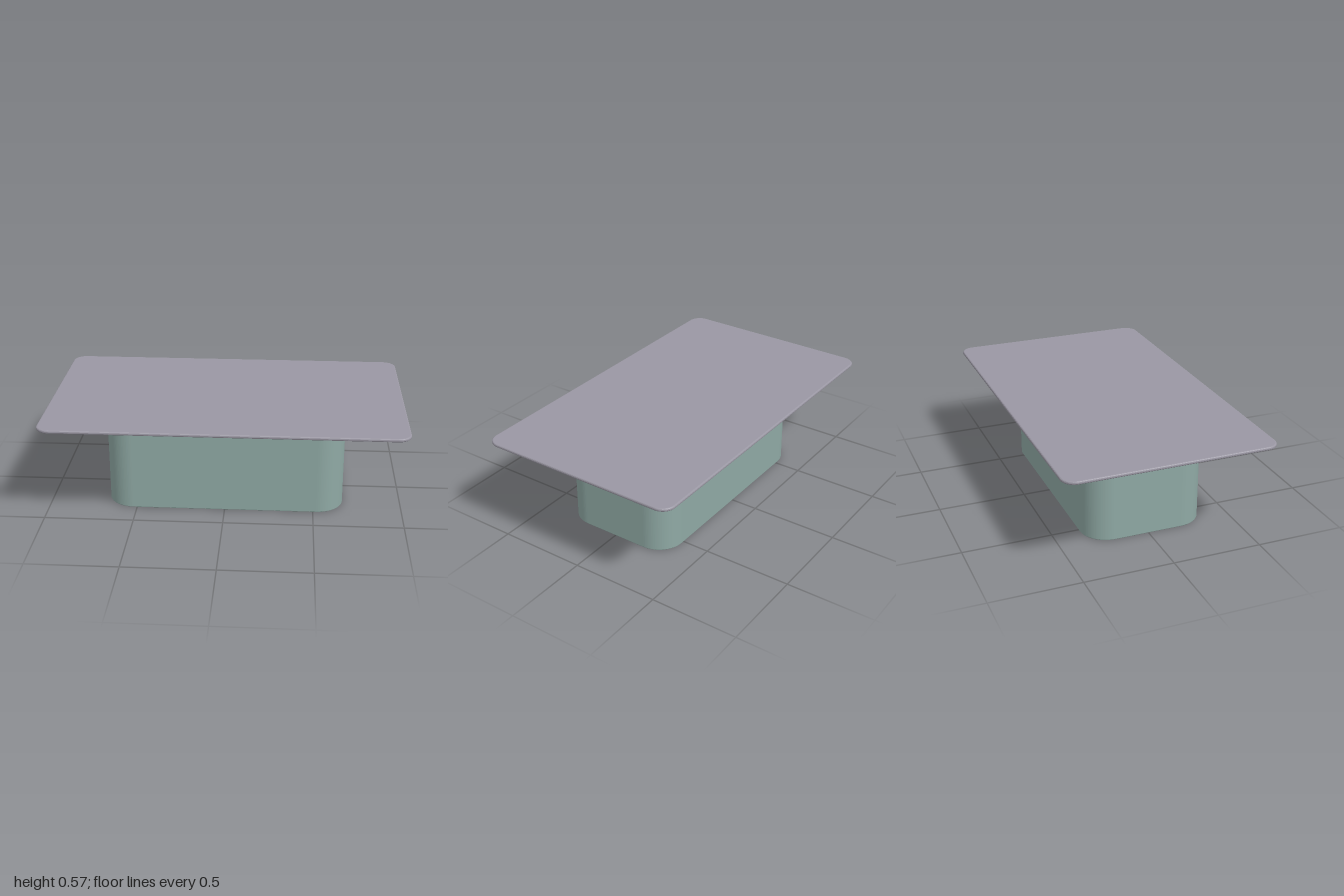
import * as THREE from 'three';

const teal = new THREE.MeshStandardMaterial({ color: 0x8fa9a4 });
const grey = new THREE.MeshStandardMaterial({ color: 0x9a97a3 });

// Rounded rectangle outline, half sizes w and d, corner radius r
function roundedRect(w, d, r, Type = THREE.Shape) {
  const s = new Type();
  s.moveTo(w, -d + r);
  s.absarc(w - r, d - r, r, 0, Math.PI / 2);
  s.absarc(-w + r, d - r, r, Math.PI / 2, Math.PI);
  s.absarc(-w + r, -d + r, r, Math.PI, Math.PI * 1.5);
  s.absarc(w - r, -d + r, r, Math.PI * 1.5, Math.PI * 2);
  return s;
}

// Upright slab from y0 to y1 with softened edges and an optional hole [w, d, r]
function slab(name, [w, d, r], y0, y1, bevel, material, hole) {
  const shape = roundedRect(w - bevel, d - bevel, r - bevel);
  if (hole) shape.holes.push(roundedRect(hole[0] + bevel, hole[1] + bevel, hole[2] + bevel, THREE.Path));
  const geo = new THREE.ExtrudeGeometry(shape, {
    depth: y1 - y0 - 2 * bevel, bevelEnabled: true, bevelSize: bevel,
    bevelThickness: bevel, bevelSegments: 3, curveSegments: 12,
  });
  geo.rotateX(-Math.PI / 2);
  geo.translate(0, y0 + bevel, 0);
  const mesh = new THREE.Mesh(geo, material);
  mesh.name = name;
  return mesh;
}

export function createModel() {
  const model = new THREE.Group();
  model.name = 'coveredBin';

  // Hollow bin, open at the bottom, with a rim under the lid
  model.add(slab('binWall', [0.67, 0.345, 0.15], 0, 0.555, 0.005, teal, [0.65, 0.325, 0.13]));
  model.add(slab('binRim', [0.7, 0.383, 0.15], 0.528, 0.556, 0.008, teal, [0.655, 0.33, 0.13]));

  // Flat lid
  model.add(slab('lid', [1, 0.592, 0.075], 0.554, 0.573, 0.008, grey));

  // Bent rail around each short end
  for (const side of [-1, 1]) {
    const path = new THREE.CatmullRomCurve3([
      [0.66, -0.34], [0.71, -0.335], [0.748, -0.3], [0.758, -0.24],
      [0.758, 0], [0.758, 0.24], [0.748, 0.3], [0.71, 0.335], [0.66, 0.34],
    ].map(([x, z]) => new THREE.Vector3(side * x, 0.543, side * z)));
    const rail = new THREE.Mesh(new THREE.TubeGeometry(path, 48, 0.0135, 10), grey);
    rail.name = side > 0 ? 'leftRail' : 'rightRail';
    model.add(rail);
  }
  return model;
}
